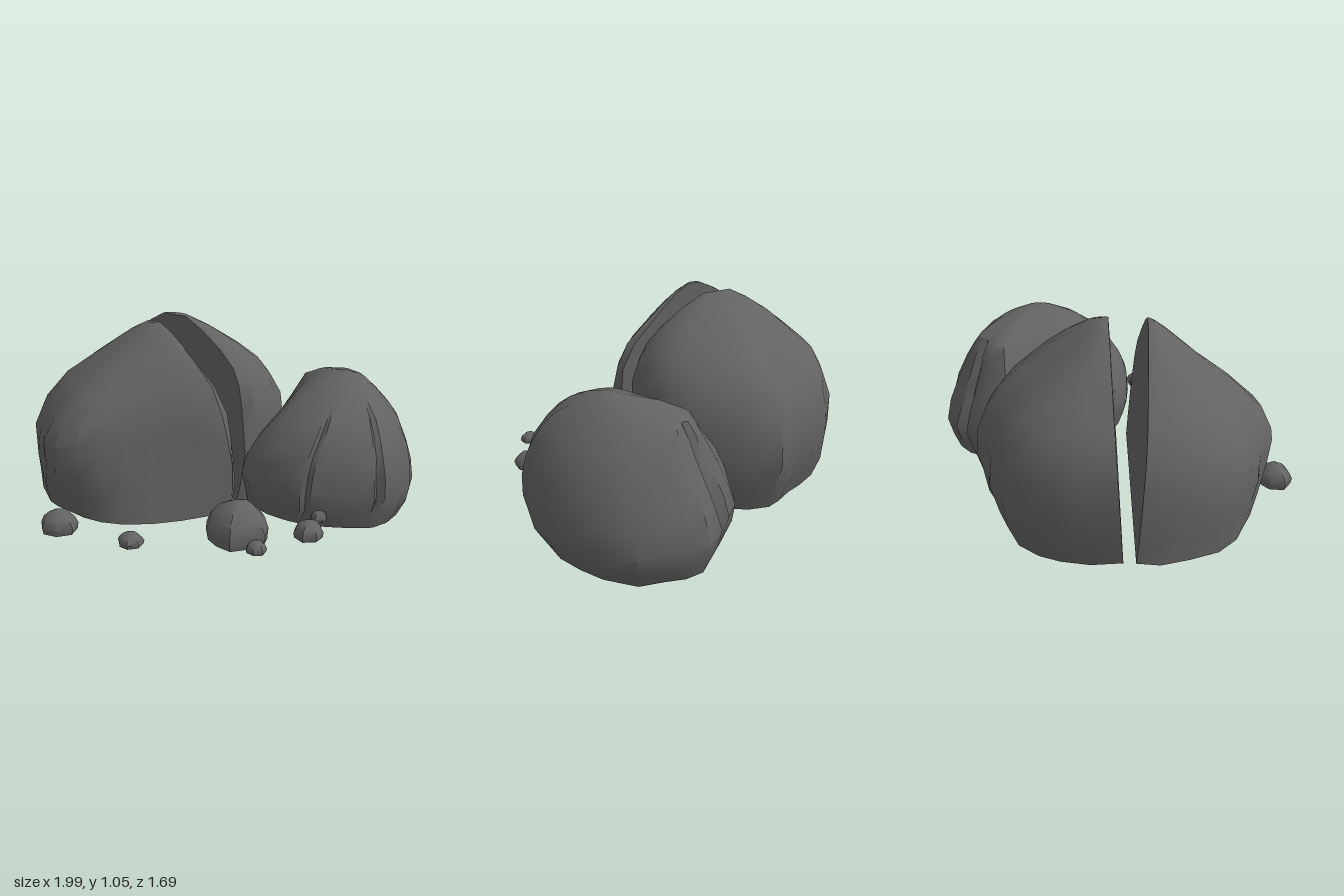
import * as THREE from 'three';
import { toCreasedNormals } from 'three/addons/utils/BufferGeometryUtils.js';

const stone = new THREE.MeshStandardMaterial({ color: 0x626262 });
stone.name = 'grey stone';

// Lofts a stone from one plan outline [x, z, hollow?] scaled level by level;
// hollow dents (or, if negative, swells) the flank at mid-height.
// levels: [t, scaleU, scaleV, shiftU, shiftV], t running from the base plane (0) to the top (1).
function makeRock(name, { outline, centre, u = [1, 0], levels, base, top, rough = 0.012, crease = 0.6 }) {
  const v = [u[1], -u[0]];
  const pts = outline.slice();
  let area = 0;
  pts.forEach((p, i) => {
    const q = pts[(i + 1) % pts.length];
    area += p[0] * q[1] - q[0] * p[1];
  });
  if (area > 0) pts.reverse();
  const n = pts.length;
  const pos = [];
  const idx = [];
  levels.forEach(([t, su, sv, du, dv], k) => {
    pts.forEach(([x, z, hollow = 0], i) => {
      const dx = x - centre[0], dz = z - centre[1];
      const bump = 1 + rough * Math.sin(i * 2.3 + k * 1.7 + n) * (k > 0 ? 1 : 0.4);
      const f = bump * (1 - hollow * Math.sin(Math.PI * t));
      const a = (dx * u[0] + dz * u[1]) * su * f + du;
      const b = (dx * v[0] + dz * v[1]) * sv * f + dv;
      const px = centre[0] + a * u[0] + b * v[0];
      const pz = centre[1] + a * u[1] + b * v[1];
      pos.push(px, THREE.MathUtils.lerp(base(px, pz), top, t), pz);
    });
  });
  // Side walls
  for (let k = 0; k < levels.length - 1; k++) {
    for (let i = 0; i < n; i++) {
      const j = (i + 1) % n;
      const a = k * n + i, b = k * n + j, c = b + n, d = a + n;
      idx.push(a, b, c, a, c, d);
    }
  }
  // Base and crown caps
  for (const k of [0, levels.length - 1]) {
    const mid = [0, 0, 0];
    for (let i = 0; i < n; i++) for (let c = 0; c < 3; c++) mid[c] += pos[(k * n + i) * 3 + c] / n;
    const m = pos.length / 3;
    pos.push(...mid);
    for (let i = 0; i < n; i++) {
      const a = k * n + i, b = k * n + (i + 1) % n;
      if (k) idx.push(m, a, b);
      else idx.push(m, b, a);
    }
  }
  const geo = new THREE.BufferGeometry();
  geo.setAttribute('position', new THREE.Float32BufferAttribute(pos, 3));
  geo.setIndex(idx);
  const mesh = new THREE.Mesh(toCreasedNormals(geo, crease), stone);
  mesh.name = name;
  return mesh;
}

export function createModel() {
  const group = new THREE.Group();
  group.name = 'splitBoulders';
  const slit = [0.645, 0.764];

  // Left half of the split boulder: flat base, front hollowed above a low ridge
  group.add(makeRock('splitBoulderLeft', {
    u: slit, centre: [-0.375, -0.2], top: 1.06, base: () => 0.15,
    outline: [[-0.727, -0.617], [-0.82, -0.55], [-0.91, -0.43], [-0.985, -0.3], [-1, -0.17], [-0.98, -0.05],
      [-0.96, 0.03], [-0.92, 0.1, -0.06], [-0.86, 0.18, -0.1], [-0.79, 0.26, -0.04], [-0.71, 0.33, 0.1],
      [-0.6, 0.38, 0.2], [-0.45, 0.395, 0.22], [-0.3, 0.39, 0.2], [-0.18, 0.365, 0.14],
      [-0.1, 0.34, 0.09], [-0.03, 0.3, 0.03], [-0.012, 0.23]],
    levels: [[0, 0.98, 0.96, 0, 0], [0.14, 1, 0.98, 0.015, -0.01], [0.28, 1, 0.99, 0.02, -0.018],
      [0.42, 0.97, 0.97, 0.025, -0.027], [0.55, 0.91, 0.87, 0.035, -0.036], [0.69, 0.76, 0.65, 0.05, -0.045],
      [0.79, 0.57, 0.45, 0.065, -0.051], [0.88, 0.38, 0.28, 0.08, -0.057], [0.95, 0.22, 0.15, 0.09, -0.062],
      [1, 0.07, 0.05, 0.1, -0.065]],
  }));

  // Right half, tipped away from the split
  group.add(makeRock('splitBoulderRight', {
    u: slit, centre: [-0.325, -0.23], top: 1.06,
    base: (x, z) => 0.145 - 0.16 * (0.764 * x - 0.645 * z + 0.1),
    outline: [[-0.688, -0.66], [-0.55, -0.75], [-0.4, -0.815], [-0.27, -0.84], [-0.12, -0.835], [0, -0.78],
      [0.08, -0.72], [0.18, -0.675], [0.25, -0.63], [0.3, -0.52], [0.33, -0.4],
      [0.345, -0.2], [0.325, -0.08], [0.28, 0.02], [0.2, 0.12], [0.1, 0.19], [0.038, 0.2]],
    levels: [[0, 0.95, 0.9, 0, 0], [0.13, 0.99, 0.96, 0, 0.008], [0.3, 1, 1, 0, 0.018],
      [0.45, 0.98, 0.97, 0, 0.027], [0.57, 0.94, 0.9, 0.01, 0.034], [0.67, 0.86, 0.79, 0.025, 0.04],
      [0.76, 0.73, 0.62, 0.055, 0.046], [0.85, 0.56, 0.43, 0.065, 0.051], [0.94, 0.34, 0.23, 0.065, 0.056],
      [1, 0.14, 0.08, 0.06, 0.06]],
  }));

  // Smaller boulder with shallow cracks in its front and back
  group.add(makeRock('sideBoulder', {
    centre: [0.53, 0.07], top: 0.8,
    base: (x, z) => Math.max(0, 0.147 - 0.13 * (x - 0.05) + 0.07 * (z - 0.2)),
    outline: [[0.04, 0.2], [0.05, 0.3], [0.11, 0.41], [0.2, 0.5], [0.255, 0.53], [0.275, 0.54, 0.04],
      [0.3, 0.55], [0.4, 0.57], [0.52, 0.575], [0.62, 0.57], [0.645, 0.565, 0.04], [0.68, 0.56], [0.8, 0.48],
      [0.91, 0.35], [0.965, 0.23], [1, 0.1], [1, -0.08], [0.94, -0.2], [0.89, -0.3], [0.82, -0.375],
      [0.7, -0.405], [0.65, -0.395, 0.05], [0.6, -0.425], [0.5, -0.44], [0.36, -0.4], [0.3, -0.27],
      [0.22, -0.1], [0.11, 0.06]],
    levels: [[0, 0.89, 0.91, -0.02, 0], [0.12, 0.96, 0.97, -0.005, 0], [0.25, 1, 1, 0, 0],
      [0.4, 0.95, 0.96, 0, -0.015], [0.54, 0.87, 0.9, 0.005, -0.03], [0.68, 0.73, 0.8, 0.02, -0.035],
      [0.78, 0.6, 0.72, 0.03, -0.025], [0.87, 0.46, 0.61, 0.035, -0.01], [0.95, 0.28, 0.38, 0.05, -0.025],
      [1, 0.09, 0.1, 0.06, -0.07]],
  }));

  // Scattered pebbles: x, z, radius, base, top
  const pebbles = [[-0.89, 0.35, 0.09, 0.15, 0.255], [-0.57, 0.61, 0.06, 0.175, 0.235],
    [-0.065, 0.59, 0.152, 0.15, 0.335], [-0.02, 0.795, 0.05, 0.18, 0.232],
    [0.25, 0.7, 0.075, 0.18, 0.26], [0.35, 0.545, 0.04, 0.18, 0.23]];
  pebbles.forEach(([x, z, r, low, high], k) => {
    const sides = r > 0.1 ? 11 : 7;
    const outline = Array.from({ length: sides }, (_, i) => {
      const a = (i / sides) * Math.PI * 2 + k;
      const rr = r * (1 + 0.06 * Math.sin(i * 2.1 + k));
      return [x + rr * Math.cos(a), z + rr * Math.sin(a)];
    });
    group.add(makeRock('pebble' + (k + 1), {
      outline, centre: [x, z], base: () => low, top: high, rough: 0.03, crease: 0.7,
      levels: [[0, 0.94, 0.94, 0, 0], [0.3, 1, 1, 0, 0], [0.6, 0.85, 0.85, 0, 0],
        [0.86, 0.55, 0.55, 0, 0], [1, 0.16, 0.16, 0, 0]],
    }));
  });
  return group;
}
